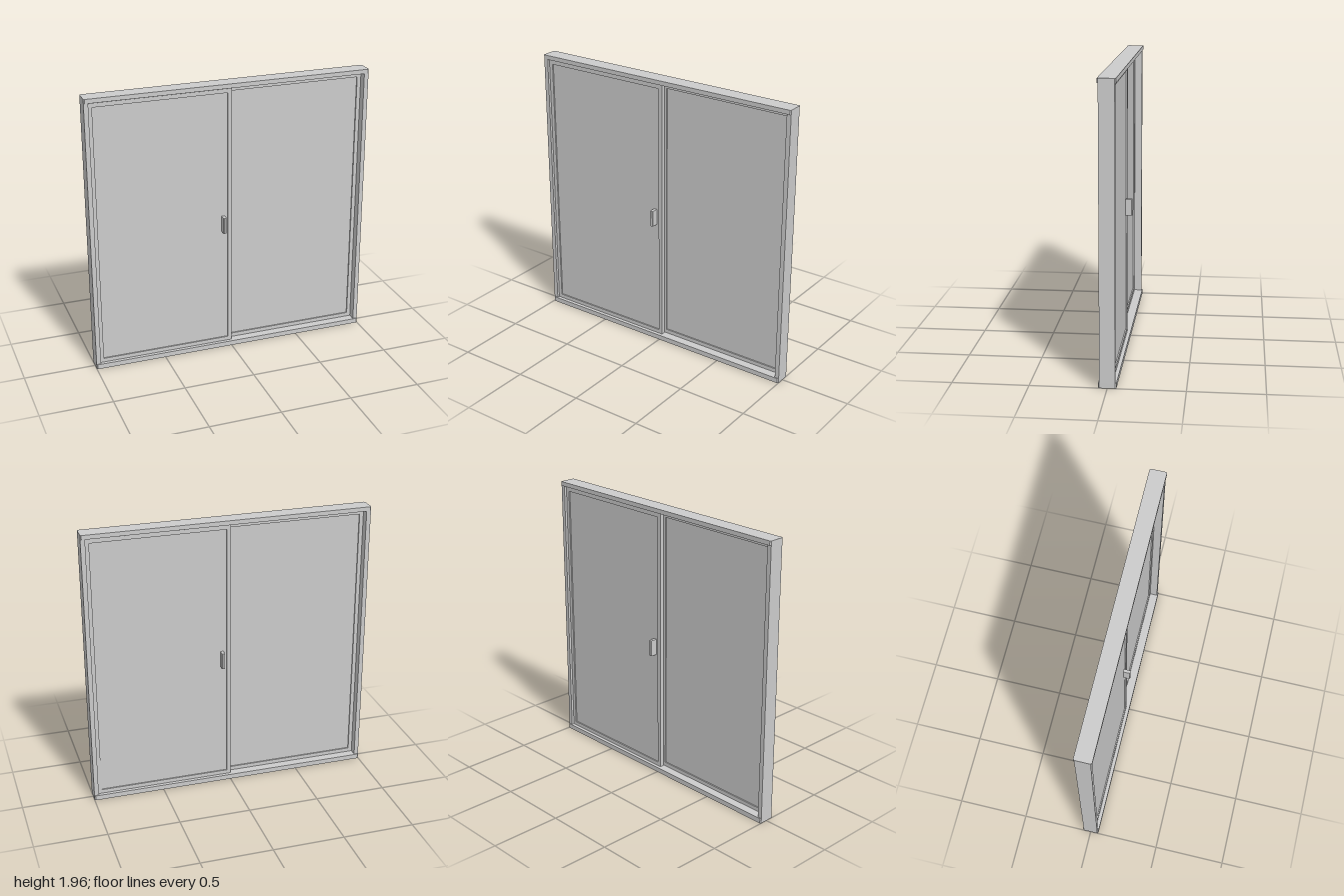
import * as THREE from 'three';

const material = new THREE.MeshStandardMaterial({ color: 0xcccccc, flatShading: true });

function add(parent, name, geometry, x = 0, y = 0, z = 0) {
  const mesh = new THREE.Mesh(geometry, material);
  mesh.name = name;
  mesh.position.set(x, y, z);
  parent.add(mesh);
  return mesh;
}

// Upright prism from a plan outline given as [x, z] points, standing on y = 0
function prism(points, height) {
  const shape = new THREE.Shape(points.map(([x, z]) => new THREE.Vector2(x, -z)));
  return new THREE.ExtrudeGeometry(shape, { depth: height, bevelEnabled: false }).rotateX(-Math.PI / 2);
}

// Rectangular ring in the xy plane, centred in z
function frame(x0, x1, y0, y1, border, depth) {
  const rect = (T, a, b, c, d) => {
    const path = new T();
    path.moveTo(a, c).lineTo(b, c).lineTo(b, d).lineTo(a, d).closePath();
    return path;
  };
  const shape = rect(THREE.Shape, x0, x1, y0, y1);
  shape.holes.push(rect(THREE.Path, x0 + border, x1 - border, y0 + border, y1 - border));
  return new THREE.ExtrudeGeometry(shape, { depth, bevelEnabled: false }).translate(0, 0, -depth / 2);
}

// One sliding leaf: frame, recessed pane and pull handle
function slidingPanel(name) {
  const panel = new THREE.Group();
  panel.name = name;
  const z = 0.018, x0 = -0.97, x1 = 0.008, y0 = 0.035, y1 = 1.925, border = 0.028;
  add(panel, 'panelFrame', frame(x0, x1, y0, y1, border, 0.03), 0, 0, z);
  add(panel, 'pane', new THREE.BoxGeometry(x1 - x0 - 2 * border, y1 - y0 - 2 * border, 0.012),
    (x0 + x1) / 2, (y0 + y1) / 2, z);
  // Handle with chamfered outer edges
  const w = 0.011, c = 0.004, back = 0.02, front = 0.072;
  add(panel, 'handle', prism([[-w, front - c], [-w, back], [w, back], [w, front - c],
    [w - c, front], [-w + c, front]], 0.115), -0.054, 0.897, 0);
  return panel;
}

export function createModel() {
  const model = new THREE.Group();
  model.name = 'slidingDoor';

  // Head and sill with slightly clipped corners
  const c = 0.007, d = 0.058;
  const plan = [[-1 + c, d], [1 - c, d], [1, d - c], [1, -d + c],
    [1 - c, -d], [-1 + c, -d], [-1, -d + c], [-1, d - c]];
  add(model, 'sill', prism(plan, 0.035));
  add(model, 'head', prism(plan, 0.03), 0, 1.934, 0);

  // Side jambs between sill and head
  for (const side of [-1, 1]) {
    add(model, side < 0 ? 'rightJamb' : 'leftJamb',
      new THREE.BoxGeometry(0.031, 1.899, 0.102), side * 0.9845, 0.9845, 0);
  }

  // Two leaves on separate tracks, each the other turned half round
  model.add(slidingPanel('frontPanel'));
  const rear = slidingPanel('rearPanel');
  rear.rotation.y = Math.PI;
  model.add(rear);

  return model;
}
